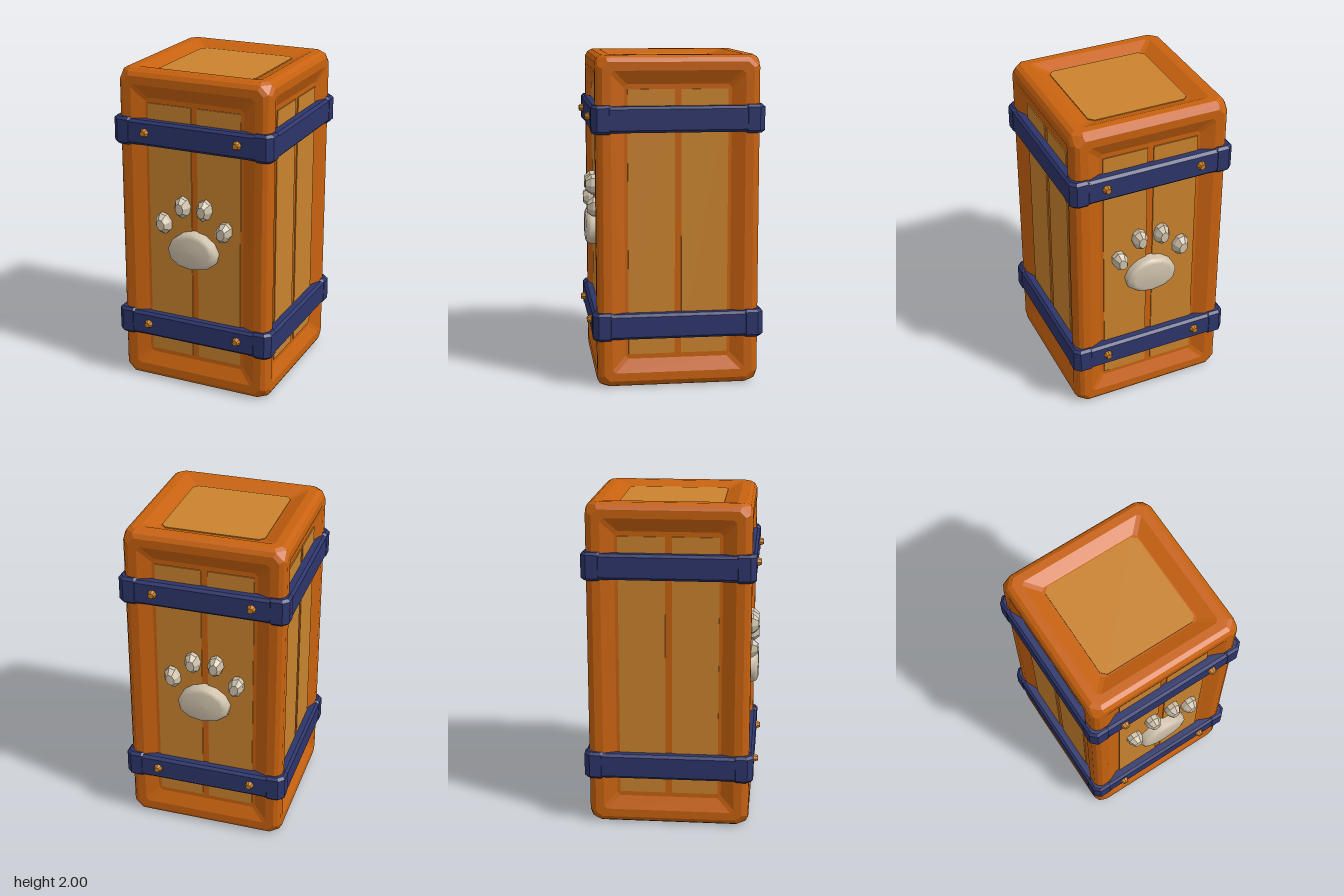
import * as THREE from 'three';

const mat = (name, color) => {
  const m = new THREE.MeshStandardMaterial({ color });
  m.name = name;
  return m;
};

const H = [0.49, 1, 0.49]; // half size of the crate

// Crate shell: every face is a stack of octagonal rings (inset, depth, corner cut)
function shellGeometry() {
  const rings = [[0.015, 0.015, 0.05], [0.04, 0, 0.035], [0.09, 0, 0.02], [0.17, 0.035, 0.02]];
  const pos = [];
  const tri = (a, b, c) => pos.push(...a, ...b, ...c);
  for (let n = 0; n < 3; n++) for (const s of [1, -1]) {
    let u = (n + 1) % 3, v = (n + 2) % 3;
    if (s < 0) [u, v] = [v, u];
    const point = (a, b, d) => {
      const p = [0, 0, 0];
      p[u] = a; p[v] = b; p[n] = s * d;
      return p;
    };
    const loops = rings.map(([inset, depth, c]) => {
      const a = H[u] - inset, b = H[v] - inset, d = H[n] - depth;
      return [[a, c - b], [a, b - c], [a - c, b], [c - a, b], [-a, b - c], [-a, c - b], [c - a, -b], [a - c, -b]]
        .map(([x, y]) => point(x, y, d));
    });
    for (let r = 0; r < loops.length; r++) for (let k = 0; k < 8; k++) {
      const j = (k + 1) % 8, o = loops[r], i = loops[r + 1];
      if (i) { tri(o[k], o[j], i[j]); tri(o[k], i[j], i[k]); }
      else tri(o[k], o[j], point(0, 0, H[n] - 0.035));
    }
  }
  // Cut corners
  const [inset, , c] = rings[0];
  for (const x of [1, -1]) for (const y of [1, -1]) for (const z of [1, -1]) {
    const s = [x, y, z];
    const p = [0, 1, 2].map(k => s.map((t, i) => t * (H[i] - inset - (i === k ? c : 0))));
    if (x * y * z > 0) tri(p[0], p[1], p[2]); else tri(p[0], p[2], p[1]);
  }
  const g = new THREE.BufferGeometry();
  g.setAttribute('position', new THREE.Float32BufferAttribute(pos, 3));
  g.computeVertexNormals();
  return g;
}

// Square slab with cut corners and bevelled rims, lying flat and centred
function slabGeometry(half, height, cut, bevel) {
  const a = half - bevel, c = cut;
  const shape = new THREE.Shape([[a, c - a], [a, a - c], [a - c, a], [c - a, a], [-a, a - c], [-a, c - a], [c - a, -a], [a - c, -a]]
    .map(p => new THREE.Vector2(...p)));
  const g = new THREE.ExtrudeGeometry(shape, {
    depth: height - 2 * bevel, bevelEnabled: bevel > 0, bevelSize: bevel, bevelThickness: bevel, bevelSegments: 1,
  });
  return g.translate(0, 0, bevel - height / 2).rotateX(-Math.PI / 2);
}

// Low dome facing +z, from radius/height pairs
function domeGeometry(profile, sides) {
  return new THREE.LatheGeometry(profile.map(p => new THREE.Vector2(...p)), sides).rotateX(Math.PI / 2);
}

export function createModel() {
  const orange = mat('frame orange', 0xc8620f);
  const tan = mat('board tan', 0xca832e);
  const navy = mat('band navy', 0x2d356b);
  const cream = mat('paw cream', 0xcfc2ac);
  const brass = mat('rivet brass', 0xc97c1e);

  const model = new THREE.Group();
  model.name = 'crate';
  const add = (parent, name, geometry, material, x = 0, y = 0, z = 0) => {
    const m = new THREE.Mesh(geometry, material);
    m.name = name;
    m.position.set(x, y, z);
    parent.add(m);
    return m;
  };

  add(model, 'frame', shellGeometry(), orange, 0, 1, 0);

  // Top and bottom panels
  const plate = slabGeometry(0.312, 0.008, 0.03, 0);
  add(model, 'topPanel', plate, tan, 0, 1.967, 0);
  add(model, 'bottomPanel', plate, tan, 0, 0.033, 0);

  // Two boards in each side recess
  const board = new THREE.BoxGeometry(0.28, 1.6, 0.009);
  for (let k = 0; k < 4; k++) {
    const side = new THREE.Group();
    side.name = 'sideBoards';
    side.rotation.y = k * Math.PI / 2;
    for (const s of [-1, 1]) add(side, 'board', board, tan, s * 0.16, 1, 0.457);
    model.add(side);
  }

  // Bands with thicker corners
  const band = slabGeometry(0.515, 0.155, 0.03, 0.016);
  const corner = slabGeometry(0.07, 0.17, 0.025, 0.016);
  for (const y of [0.38, 1.625]) {
    add(model, 'band', band, navy, 0, y, 0);
    for (const x of [-1, 1]) for (const z of [-1, 1]) add(model, 'bandCorner', corner, navy, x * 0.447, y, z * 0.447);
  }

  // Rivets and paw emblem, the same on front and back
  const rivet = new THREE.CylinderGeometry(0.017, 0.031, 0.035, 8).toNonIndexed().rotateX(Math.PI / 2);
  rivet.computeVertexNormals();
  const pad = domeGeometry([[1, 0], [1, 0.045], [0.93, 0.065], [0.75, 0.076], [0, 0.079]], 12);
  const p = pad.attributes.position;
  for (let i = 0; i < p.count; i++) {
    const x = p.getX(i), y = p.getY(i);
    p.setXY(i, x * 0.163 * (1 - 0.12 * y), y * 0.12); // narrower towards the top
  }
  pad.computeVertexNormals();
  const toe = domeGeometry([[1, 0], [1, 0.04], [0.55, 0.075], [0, 0.075]], 8).toNonIndexed();
  toe.scale(0.048, 0.066, 1);
  toe.computeVertexNormals();

  for (const turn of [0, Math.PI]) {
    const face = new THREE.Group();
    face.name = turn ? 'backDetails' : 'frontDetails';
    face.rotation.y = turn;
    for (const x of [-0.3, 0.3]) for (const y of [0.385, 1.63]) add(face, 'rivet', rivet, brass, x, y, 0.524);
    add(face, 'pawPad', pad, cream, 0, 0.917, 0.452);
    for (const s of [-1, 1]) {
      add(face, 'innerToe', toe, cream, s * 0.072, 1.185, 0.452).rotation.z = -s * 0.1;
      add(face, 'outerToe', toe, cream, s * 0.2, 1.065, 0.452).rotation.z = -s * 0.3;
    }
    model.add(face);
  }
  return model;
}
